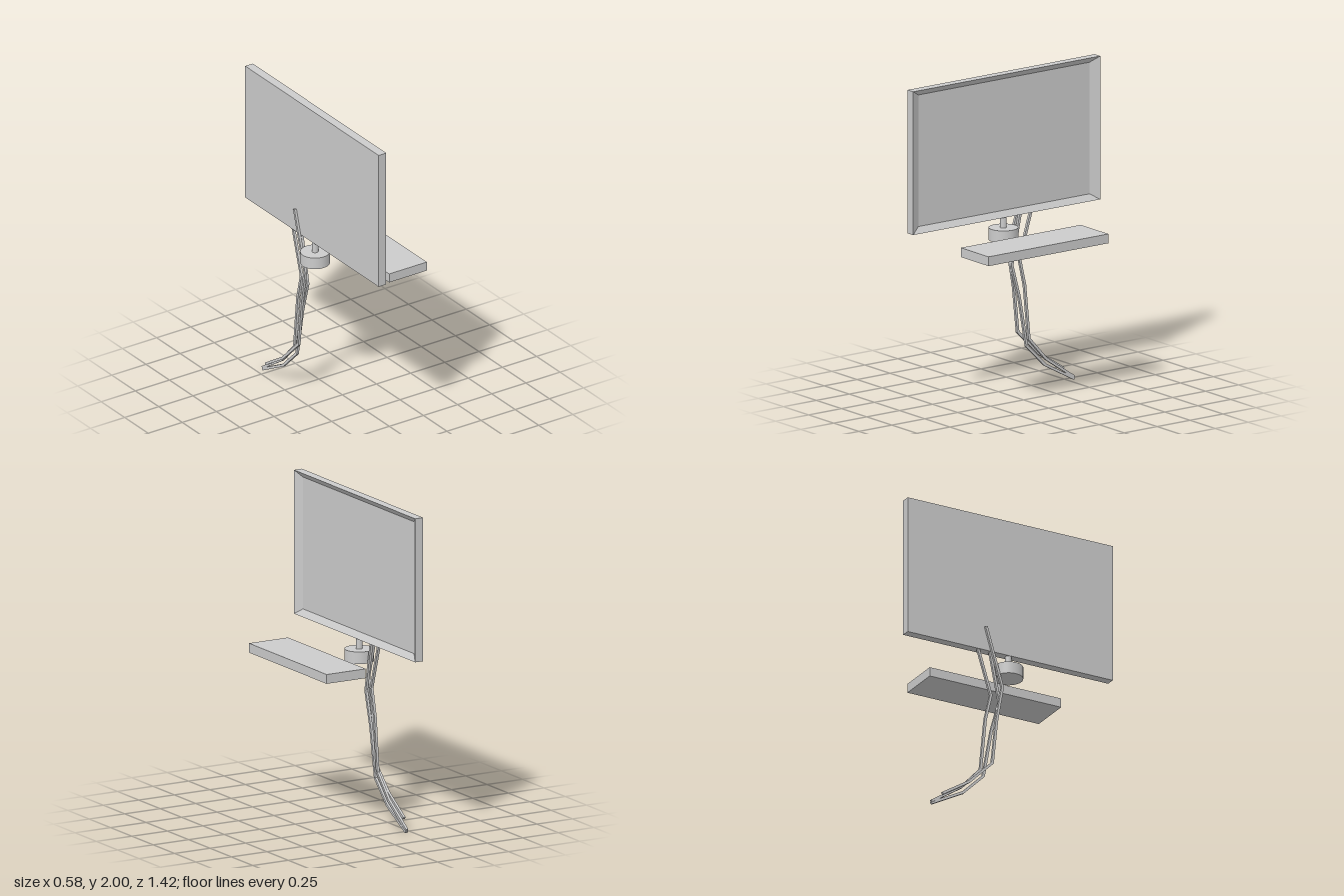
import * as THREE from 'three';

const material = new THREE.MeshStandardMaterial({ color: 0xcccccc, flatShading: true });
const smooth = new THREE.MeshStandardMaterial({ color: 0xcccccc });

function add(parent, name, geometry, x = 0, y = 0, z = 0, mat = material) {
  const mesh = new THREE.Mesh(geometry, mat);
  mesh.name = name;
  mesh.position.set(x, y, z);
  parent.add(mesh);
  return mesh;
}

// Closed loft through rectangles [x, halfWidth, bottom, top] stacked along x
function loftRectangles(sections) {
  const corners = sections.map(([x, w, b, t]) => [
    [x, b, w], [x, b, -w], [x, t, -w], [x, t, w],
  ]);
  const positions = [];
  const quad = (a, b, c, d) => positions.push(...a, ...b, ...c, ...a, ...c, ...d);
  for (let i = 0; i < corners.length - 1; i++) {
    const p = corners[i], q = corners[i + 1];
    for (let j = 0; j < 4; j++) {
      const k = (j + 1) % 4;
      quad(p[j], p[k], q[k], q[j]);
    }
  }
  const first = corners[0], last = corners[corners.length - 1];
  quad(first[3], first[2], first[1], first[0]);
  quad(last[0], last[1], last[2], last[3]);
  const geometry = new THREE.BufferGeometry();
  geometry.setAttribute('position', new THREE.Float32BufferAttribute(positions, 3));
  geometry.computeVertexNormals();
  return geometry;
}

// Square cable with mitred bends along [z, y] points
function cableGeometry(points, size) {
  const pts = points.map(([z, y]) => new THREE.Vector2(-z, y));
  const left = [], right = [];
  pts.forEach((p, i) => {
    const before = p.clone().sub(pts[Math.max(i - 1, 0)]).normalize();
    const after = pts[Math.min(i + 1, pts.length - 1)].clone().sub(p).normalize();
    const dir = before.clone().add(after).normalize();
    const cos = dir.dot(i === 0 ? after : before);
    const offset = new THREE.Vector2(-dir.y, dir.x).multiplyScalar(size / 2 / cos);
    left.push(p.clone().add(offset));
    right.push(p.clone().sub(offset));
  });
  const shape = new THREE.Shape([...left, ...right.reverse()]);
  const geometry = new THREE.ExtrudeGeometry(shape, { depth: size, bevelEnabled: false });
  return geometry.translate(0, 0, -size / 2).rotateY(Math.PI / 2);
}

export function createModel() {
  const model = new THREE.Group();
  model.name = 'desktopMonitorSet';

  // Monitor with a recessed screen whose edges slope inward
  add(model, 'monitor', loftRectangles([
    [-0.223, 0.71, 1.107, 2],
    [-0.167, 0.71, 1.107, 2],
    [-0.195, 0.65, 1.145, 1.965],
  ]));

  // Round stand and its neck
  const stand = new THREE.Group();
  stand.name = 'stand';
  model.add(stand);
  add(stand, 'standBase', new THREE.CylinderGeometry(0.09, 0.09, 0.075, 32), -0.2, 1.0, 0, smooth);
  add(stand, 'standNeck', new THREE.CylinderGeometry(0.02, 0.02, 0.09, 16), -0.2, 1.075, 0, smooth);

  // Keyboard slab
  add(model, 'keyboard', new THREE.BoxGeometry(0.275, 0.058, 0.91), 0.148, 1.0, 0.029);

  // Cables hanging down and trailing backward
  const cables = new THREE.Group();
  cables.name = 'cables';
  model.add(cables);
  const paths = [
    ['backCable', -0.23, [[-0.172, 1.26], [-0.06, 0.88], [-0.1, 0.65], [-0.13, 0.36], [-0.29, 0.2], [-0.475, 0.08]]],
    ['rearCable', -0.21, [[-0.22, 1.12], [-0.128, 0.82], [-0.167, 0.65], [-0.2, 0.31], [-0.33, 0.165], [-0.54, 0.022]]],
    ['frontCable', -0.208, [[-0.135, 1.12], [-0.068, 0.79], [-0.125, 0.58], [-0.18, 0.27], [-0.32, 0.13], [-0.54, 0.01]]],
  ];
  for (const [name, x, points] of paths) add(cables, name, cableGeometry(points, 0.016), x);

  return model;
}
